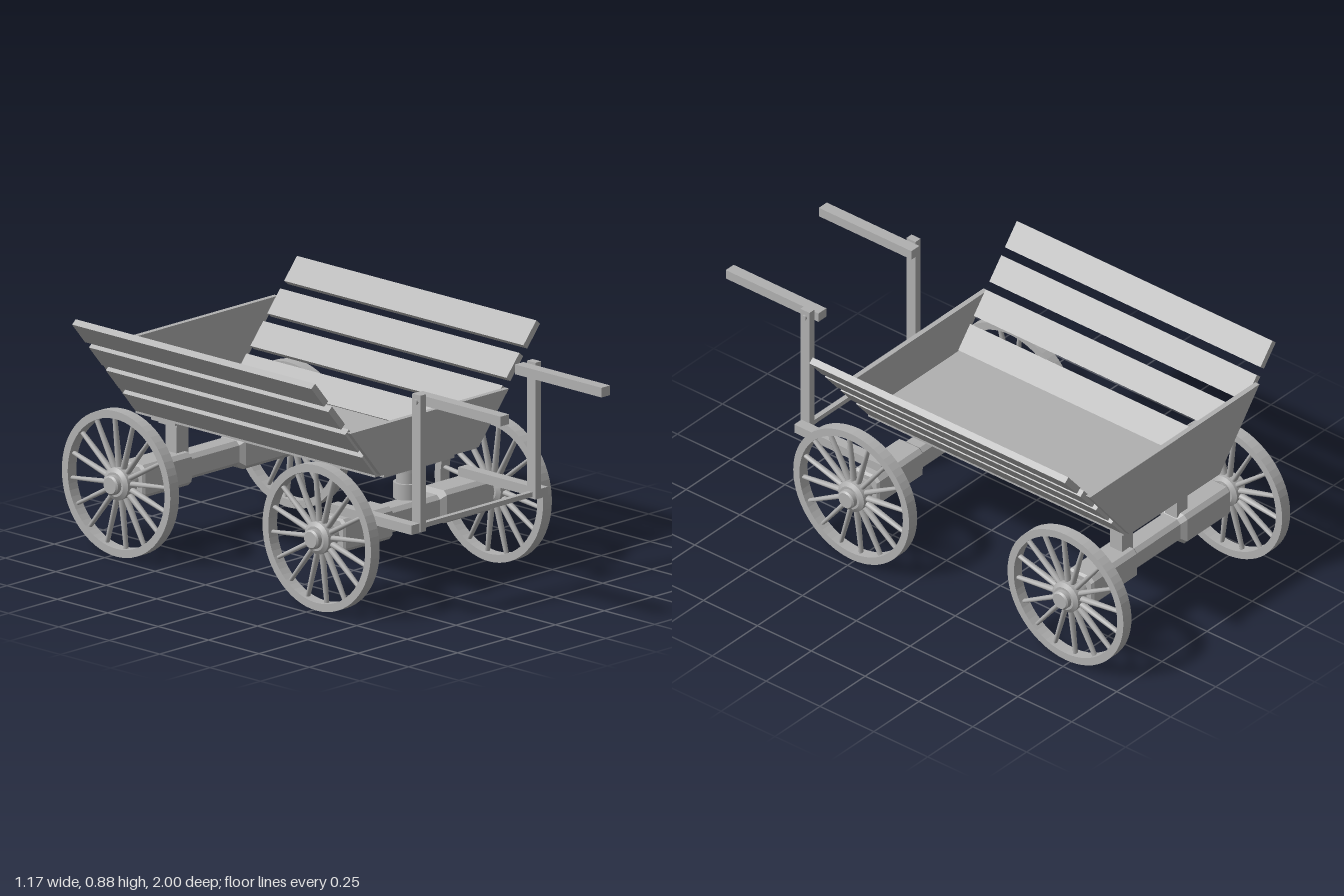
import * as THREE from 'three';

const wood = new THREE.MeshStandardMaterial({ color: 0xb0b0b0 });
wood.name = 'plain grey';

function add(parent, name, geometry, x = 0, y = 0, z = 0) {
  const mesh = new THREE.Mesh(geometry, wood);
  mesh.name = name;
  mesh.position.set(x, y, z);
  parent.add(mesh);
  return mesh;
}

// Box given by its limits on each axis
function block(parent, name, [x0, x1], [y0, y1], [z0, z1]) {
  return add(parent, name, new THREE.BoxGeometry(x1 - x0, y1 - y0, z1 - z0),
    (x0 + x1) / 2, (y0 + y1) / 2, (z0 + z1) / 2);
}

// Cylinder lying along x
function lyingCylinder(radius0, radius1, length) {
  return new THREE.CylinderGeometry(radius1, radius0, length, 28).rotateZ(-Math.PI / 2);
}

// Chamfered beam along x, waisted in the middle
function axleBeamGeometry() {
  const half = [[0.385, 0.054], [0.375, 0.061], [0.14, 0.061], [0.12, 0.046]];
  const sections = [...half.map(([x, r]) => [-x, r]), ...half.slice().reverse()];
  const ring = ([x, r]) => {
    const c = r - 0.015;
    return [[r, c], [c, r], [-c, r], [-r, c], [-r, -c], [-c, -r], [c, -r], [r, -c]]
      .map(([y, z]) => [x, y, z]);
  };
  const rings = sections.map(ring);
  const p = [];
  for (let i = 0; i < rings.length - 1; i++) {
    for (let j = 0; j < 8; j++) {
      const k = (j + 1) % 8;
      const a = rings[i][j], b = rings[i][k], c = rings[i + 1][k], d = rings[i + 1][j];
      p.push(...a, ...c, ...d, ...a, ...b, ...c);
    }
  }
  const last = rings[rings.length - 1];
  for (let j = 1; j < 7; j++) {
    p.push(...rings[0][0], ...rings[0][j + 1], ...rings[0][j]);
    p.push(...last[0], ...last[j], ...last[j + 1]);
  }
  const geometry = new THREE.BufferGeometry();
  geometry.setAttribute('position', new THREE.Float32BufferAttribute(p, 3));
  geometry.computeVertexNormals();
  return geometry;
}

// Wheel with its axis along x, outer side towards +x
function makeWheel() {
  const wheel = new THREE.Group();
  const shape = new THREE.Shape().absarc(0, 0, 0.269, 0, Math.PI * 2, false);
  shape.holes.push(new THREE.Path().absarc(0, 0, 0.24, 0, Math.PI * 2, true));
  const rim = new THREE.ExtrudeGeometry(shape, { depth: 0.045, bevelEnabled: false, curveSegments: 32 });
  add(wheel, 'rim', rim.translate(0, 0, -0.0225).rotateY(Math.PI / 2));
  add(wheel, 'hub', lyingCylinder(0.06, 0.06, 0.046));
  add(wheel, 'hubInnerBevel', lyingCylinder(0.045, 0.06, 0.01), -0.028);
  add(wheel, 'hubOuterBevel', lyingCylinder(0.06, 0.045, 0.01), 0.028);
  add(wheel, 'hubCap', lyingCylinder(0.036, 0.036, 0.05), 0.025);
  add(wheel, 'hubCapEdge', lyingCylinder(0.036, 0.03, 0.006), 0.053);
  const spoke = new THREE.CylinderGeometry(0.007, 0.01, 0.2, 8).scale(1.5, 1, 1).translate(0, 0.145, 0);
  for (let i = 0; i < 16; i++) {
    add(wheel, 'spoke', spoke).rotation.x = (i + 0.3) * Math.PI / 8;
  }
  return wheel;
}

// Axle beam with stubs and a pair of wheels
function makeAxle(name, z) {
  const axle = new THREE.Group();
  axle.name = name;
  axle.position.set(0, 0.273, z);
  add(axle, 'axleBeam', axleBeamGeometry());
  for (const side of [-1, 1]) {
    add(axle, 'axleStub', lyingCylinder(0.037, 0.037, 0.06), side * 0.4);
    const wheel = makeWheel();
    wheel.name = side > 0 ? 'leftWheel' : 'rightWheel';
    wheel.position.x = side * 0.44;
    if (side < 0) wheel.rotation.y = Math.PI;
    axle.add(wheel);
  }
  return axle;
}

// Sloped-sided board closing one end of the bed
function endBoard(parent, name, topHalf, topY, z0, z1) {
  const shape = new THREE.Shape([
    new THREE.Vector2(-0.25, 0.485), new THREE.Vector2(0.25, 0.485),
    new THREE.Vector2(topHalf, topY), new THREE.Vector2(-topHalf, topY)]);
  add(parent, name, new THREE.ExtrudeGeometry(shape, { depth: z1 - z0, bevelEnabled: false }), 0, 0, z0);
}

export function createModel() {
  const cart = new THREE.Group();
  cart.name = 'handCart';
  const frontZ = 0.265, rearZ = -0.73;
  cart.add(makeAxle('frontAxle', frontZ), makeAxle('rearAxle', rearZ));

  // Bed: floor, end boards and four slanted planks per side
  const bed = new THREE.Group();
  bed.name = 'bed';
  cart.add(bed);
  block(bed, 'floor', [-0.26, 0.26], [0.474, 0.494], [-0.83, 0.357]);
  endBoard(bed, 'frontBoard', 0.405, 0.67, 0.357, 0.377);
  endBoard(bed, 'rearBoard', 0.47, 0.757, -0.85, -0.83);
  const slope = THREE.MathUtils.degToRad(50);
  const plank = new THREE.BoxGeometry(0.103, 0.025, 1.187);
  for (const side of [-1, 1]) {
    for (let i = 0; i < 4; i++) {
      const down = 0.0515 + i * 0.134;
      add(bed, 'sidePlank', plank, side * (0.575 - Math.cos(slope) * down),
        0.877 - Math.sin(slope) * down, -0.2365).rotation.z = side * slope;
    }
  }

  // Front turning post
  block(cart, 'frontBolster', [-0.18, 0.18], [0.45, 0.475], [frontZ - 0.06, frontZ + 0.06]);
  for (const [r, y0, y1] of [[0.05, 0.43, 0.452], [0.04, 0.385, 0.432], [0.05, 0.33, 0.388]]) {
    add(cart, 'turningPost', new THREE.CylinderGeometry(r, r, y1 - y0, 28), 0, (y0 + y1) / 2, frontZ);
  }

  // Rear supports
  block(cart, 'rearBolster', [-0.222, 0.222], [0.45, 0.475], [rearZ - 0.06, rearZ + 0.06]);
  for (const side of [-1, 1]) {
    const x = side * 0.152;
    block(cart, 'rearPost', [x - 0.03, x + 0.03], [0.32, 0.44], [rearZ - 0.028, rearZ + 0.028]);
    block(cart, 'rearPostCap', [x - 0.046, x + 0.046], [0.436, 0.451], [rearZ - 0.045, rearZ + 0.045]);
  }

  // Pull frame: arms from the axle, uprights and hand grips
  const frame = new THREE.Group();
  frame.name = 'pullFrame';
  cart.add(frame);
  const span = (side, a, b) => (side > 0 ? [a, b] : [-b, -a]);
  for (const side of [-1, 1]) {
    block(frame, 'arm', span(side, 0.307, 0.348), [0.333, 0.368], [0.22, 0.625]);
    block(frame, 'upright', span(side, 0.28, 0.308), [0.335, 0.842], [0.588, 0.63]);
    block(frame, 'handGrip', span(side, 0.236, 0.28), [0.797, 0.833], [0.57, 1]);
    add(frame, 'gripPeg', lyingCylinder(0.01, 0.01, 0.06), side * 0.287, 0.815, 0.609);
  }
  block(frame, 'crossbar', [-0.31, 0.31], [0.342, 0.36], [0.595, 0.615]);
  return cart;
}
